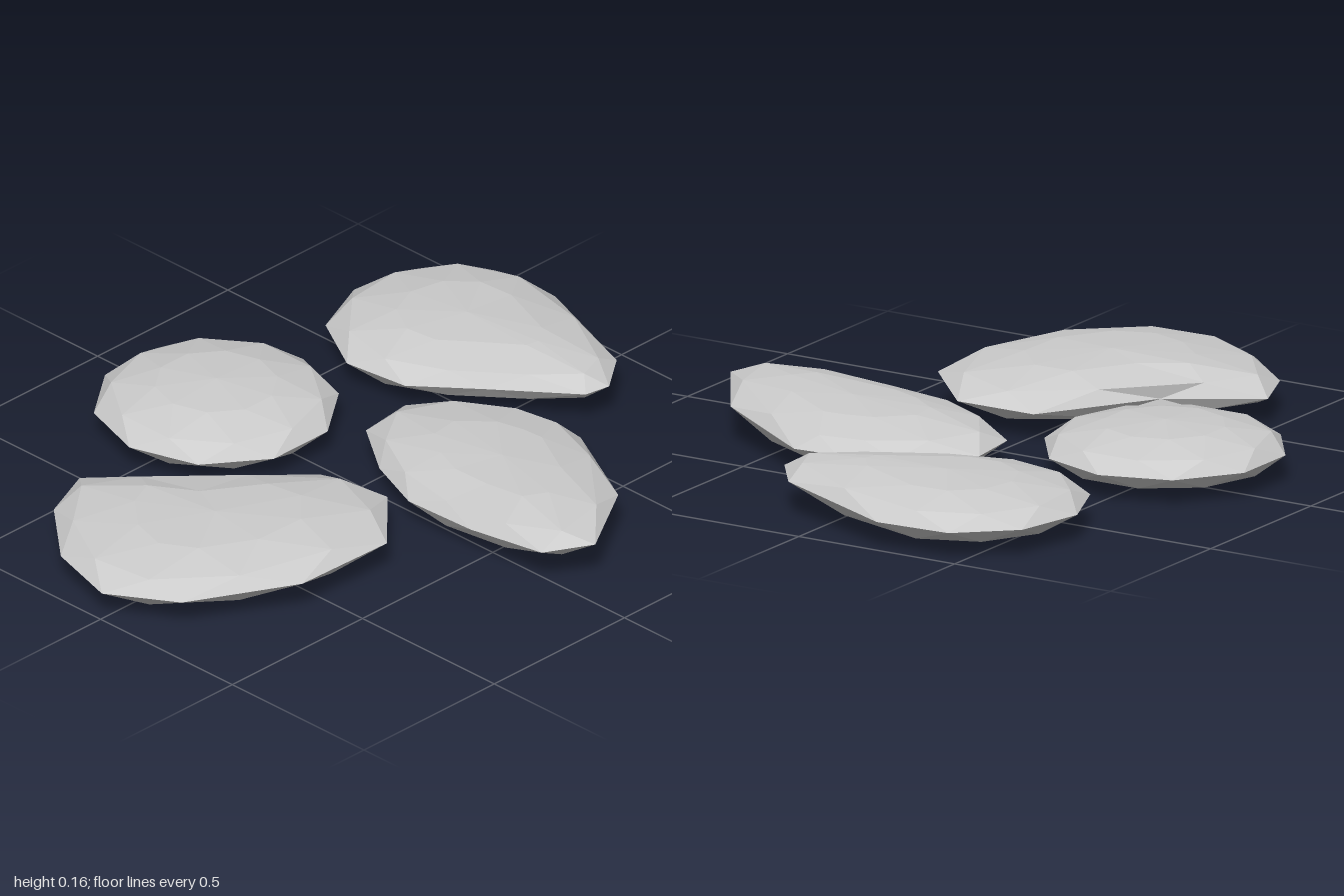
import * as THREE from 'three';

// Each stone: rim outline [x, z], centre, and how much its +x end lifts.
const STONES = [
  {
    name: 'backStone', centre: [-0.27, -0.68], lift: 0.05,
    rim: [[-0.62, -0.85], [-0.47, -0.985], [-0.25, -1], [0.13, -0.85], [0.22, -0.73], [0.205, -0.655],
      [-0.02, -0.5], [-0.2, -0.37], [-0.4, -0.35], [-0.585, -0.455], [-0.665, -0.645]],
  },
  {
    name: 'leftStone', centre: [0.34, -0.2], lift: 0.085,
    rim: [[-0.13, -0.3], [0.04, -0.46], [0.2, -0.5], [0.33, -0.51], [0.65, -0.33], [0.81, -0.08],
      [0.73, 0.045], [0.48, 0.065], [0.24, 0.06], [0.06, -0.01], [-0.11, -0.13]],
  },
  {
    name: 'roundStone', centre: [-0.5, 0.05], lift: 0,
    rim: Array.from({ length: 10 }, (_, i) => {
      const a = i * Math.PI / 5;
      return [-0.5 + 0.337 * Math.sin(a), 0.05 - 0.334 * Math.cos(a)];
    }),
  },
  {
    name: 'frontStone', centre: [0, 0.56], lift: 0.05,
    rim: [[-0.03, 0.125], [0.195, 0.095], [0.38, 0.285], [0.37, 0.6], [0.2, 0.89], [0, 0.995],
      [-0.22, 0.93], [-0.41, 0.765], [-0.48, 0.595], [-0.235, 0.44]],
  },
];

// Rounded profile: [scale of the rim, height from the middle as a fraction]
const LEVELS = [[0.5, -0.87], [0.9, -0.5], [1, 0], [0.9, 0.5], [0.5, 0.87]];
const MIDDLE = 0.08, HALF_HEIGHT = 0.078;

function stoneGeometry({ rim, centre: [cx, cz], lift }) {
  const n = rim.length, pos = [], index = [];
  const add = (x, h, z) =>
    pos.push(x, MIDDLE + h * HALF_HEIGHT + lift * Math.max(0, x - cx) * (1 - 0.3 * Math.max(0, h)), z);

  // Every other ring is turned half a step to give triangular facets
  LEVELS.forEach(([s, h], k) => {
    for (let i = 0; i < n; i++) {
      const a = rim[i], b = rim[(i + 1) % n], t = k % 2 ? 0.5 : 0;
      add(cx + (a[0] + (b[0] - a[0]) * t - cx) * s, h, cz + (a[1] + (b[1] - a[1]) * t - cz) * s);
    }
  });
  const bottom = n * LEVELS.length, top = bottom + 1;
  add(cx, -1, cz);
  add(cx, 1, cz);

  for (let k = 0; k < LEVELS.length - 1; k++) {
    for (let i = 0; i < n; i++) {
      const j = (i + 1) % n;
      const a = k * n + i, b = k * n + j, c = a + n, d = b + n;
      if (k % 2) index.push(b, a, d, a, c, d);
      else index.push(b, a, c, b, c, d);
    }
  }
  const last = (LEVELS.length - 1) * n;
  for (let i = 0; i < n; i++) {
    const j = (i + 1) % n;
    index.push(i, j, bottom, last + j, last + i, top);
  }
  const geo = new THREE.BufferGeometry();
  geo.setAttribute('position', new THREE.Float32BufferAttribute(pos, 3));
  geo.setIndex(index);
  const flat = geo.toNonIndexed();
  flat.computeVertexNormals();
  return flat;
}

export function createModel() {
  const group = new THREE.Group();
  group.name = 'steppingStones';
  const material = new THREE.MeshStandardMaterial({ color: 0xcccccc, flatShading: true });
  for (const stone of STONES) {
    const mesh = new THREE.Mesh(stoneGeometry(stone), material);
    mesh.name = stone.name;
    group.add(mesh);
  }
  return group;
}
